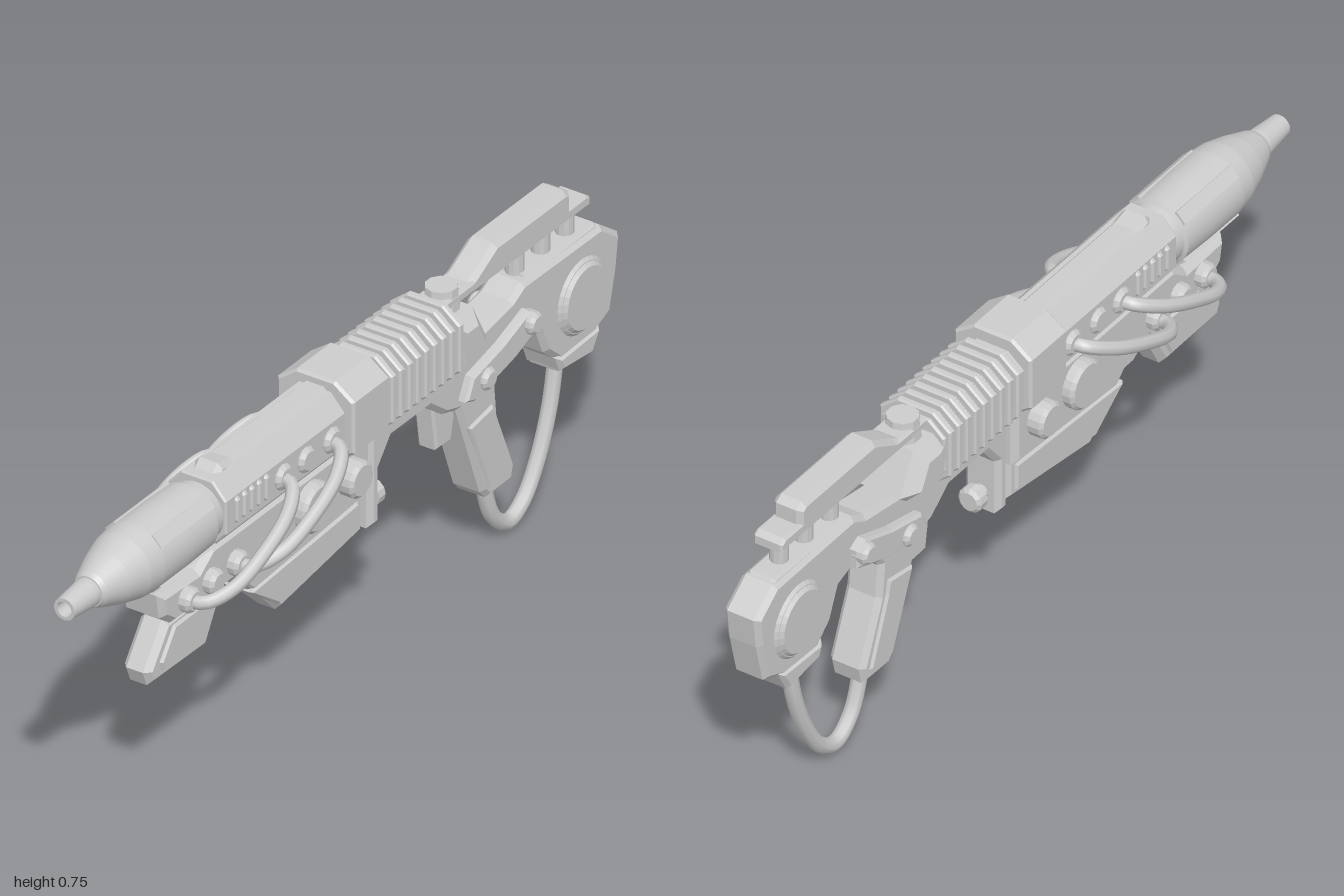
import * as THREE from 'three';

const material = new THREE.MeshStandardMaterial({ color: 0xcccccc, flatShading: true });
const smooth = new THREE.MeshStandardMaterial({ color: 0xcccccc, side: THREE.DoubleSide });

export function createModel() {
  const model = new THREE.Group();
  const add = (name, geometry, mat = material) => {
    const mesh = new THREE.Mesh(geometry, mat);
    mesh.name = name;
    model.add(mesh);
    return mesh;
  };
  const toShape = (pts) => new THREE.Shape(pts.map(([a, b]) => new THREE.Vector2(a, b)));

  // Bevelled solid centred on local z; the outline keeps its full size
  const slab = (pts, half, bevel) => {
    const g = new THREE.ExtrudeGeometry(toShape(pts), {
      depth: 2 * (half - bevel), bevelEnabled: true, bevelSegments: 1,
      bevelSize: bevel, bevelThickness: bevel, bevelOffset: -bevel,
    });
    return g.translate(0, 0, bevel - half);
  };
  // Side silhouette given as [z, y], with half width in x
  const plate = (name, pts, half, bevel = 0.012, x = 0) =>
    add(name, slab(pts, half, bevel).rotateY(-Math.PI / 2).translate(x, 0, 0));
  // Cross-section given as [x, y], running from z0 to z1
  const section = (name, pts, z0, z1, bevel = 0.004) =>
    add(name, slab(pts, (z1 - z0) / 2, bevel).translate(0, 0, (z0 + z1) / 2));
  // Outline scaled about its middle, for raised panels
  const shrink = (pts, f) => {
    const c = [0, 1].map((i) => pts.reduce((s, p) => s + p[i], 0) / pts.length);
    return pts.map((p) => [c[0] + (p[0] - c[0]) * f, c[1] + (p[1] - c[1]) * f]);
  };
  // Eight-sided cross-section
  const octagon = (w, y0, y1, cx, cy) => [
    [-w, y0 + cy], [-w + cx, y0], [w - cx, y0], [w, y0 + cy],
    [w, y1 - cy], [w - cx, y1], [-w + cx, y1], [-w, y1 - cy]];
  // Round boss with a chamfered rim, mirrored on both sides
  const bosses = (name, z, y, r, x0, x1, sides = 16) => {
    for (const s of [-1, 1]) {
      const c = Math.min(0.008, (x1 - x0) / 2);
      const profile = [[0, x0], [r, x0], [r, x1 - c], [r - c, x1], [0, x1]];
      const g = new THREE.LatheGeometry(profile.map(([a, b]) => new THREE.Vector2(a, b)), sides);
      add(name, g.rotateZ(-s * Math.PI / 2).translate(0, y, z));
    }
  };

  // Barrel shroud and muzzle, hollow at the tip
  const cone = [[0.04, 0.5], [0.068, 0.5], [0.072, 0.54], [0.08, 0.545], [0.083, 0.64], [0.083, 0.745],
    [0.078, 0.79], [0.063, 0.845], [0.043, 0.9], [0.036, 0.912], [0, 0.912]];
  const tip = [[0.033, 0.9], [0.033, 0.925], [0.026, 1.0], [0.018, 1.0], [0.016, 0.95], [0, 0.95]];
  for (const [name, profile] of [['barrelShroud', cone], ['muzzle', tip]]) {
    // Each segment is its own ring so that the edges stay crisp
    for (let i = 0; i < profile.length - 1; i++) {
      const g = new THREE.LatheGeometry(
        [profile[i], profile[i + 1]].map(([r, z]) => new THREE.Vector2(r, z)), 28);
      add(name, g.rotateX(Math.PI / 2).translate(0, 0.622, 0), smooth);
    }
  }
  // Strips along the shroud
  for (let i = 0; i < 4; i++) {
    const a = Math.PI / 4 + i * Math.PI / 2;
    const strip = add('shroudStrip', new THREE.BoxGeometry(0.032, 0.008, 0.2));
    strip.position.set(Math.cos(a) * 0.081, 0.622 + Math.sin(a) * 0.081, 0.645);
    strip.rotation.z = a - Math.PI / 2;
  }

  // Upper receiver and top ridge
  section('upperReceiver', octagon(0.075, 0.545, 0.705, 0.035, 0.04), 0.05, 0.51);
  const ridge = [[0.485, 0.68], [0.49, 0.7], [0.465, 0.722], [0.42, 0.712], [0.05, 0.712], [0.05, 0.68]];
  plate('topRidge', ridge, 0.034, 0.012);
  // Cooling ribs behind the barrel
  for (let i = 0; i < 5; i++) {
    section('coolingRib', octagon(0.082, 0.585, 0.675, 0.02, 0.02), 0.355 + i * 0.027, 0.37 + i * 0.027);
  }

  // Central block and ribbed housing
  section('centralBlock', octagon(0.098, 0.535, 0.732, 0.05, 0.036), -0.065, 0.07, 0.006);
  section('ribbedCore', octagon(0.08, 0.545, 0.7, 0.04, 0.035), -0.36, -0.06);
  for (let i = 0; i < 9; i++) {
    const z = -0.085 - i * 0.0312;
    section('housingRib', octagon(0.09, 0.532, 0.716, 0.045, 0.036), z - 0.018, z);
  }
  // Sloped tail of the housing
  const tail = [[-0.34, 0.54], [-0.34, 0.7], [-0.36, 0.67], [-0.435, 0.67], [-0.485, 0.575], [-0.46, 0.555]];
  plate('housingTail', tail, 0.082, 0.03);

  // Lower receiver, magazine and foregrip
  plate('lowerReceiver', [[0.72, 0.53], [0.71, 0.47], [0.67, 0.44], [0.44, 0.435], [0.38, 0.4],
    [-0.06, 0.4], [-0.06, 0.56], [0.53, 0.56], [0.58, 0.525]], 0.055, 0.014);
  const magazine = [[0.44, 0.44], [0.25, 0.258], [-0.06, 0.3], [-0.06, 0.42]];
  plate('magazine', magazine, 0.035, 0.014);
  plate('magazinePanel', [[0.365, 0.36], [0.26, 0.28], [-0.035, 0.318], [-0.035, 0.385]], 0.041, 0.006);
  const foregrip = [[0.67, 0.44], [0.74, 0.345], [0.725, 0.308], [0.52, 0.305], [0.46, 0.41], [0.44, 0.44]];
  plate('foregrip', foregrip, 0.035, 0.014);
  plate('foregripPanel', shrink(foregrip, 0.72), 0.041, 0.006);
  bosses('largeBoss', 0.17, 0.484, 0.058, 0.04, 0.082, 20);
  bosses('smallBoss', 0.025, 0.484, 0.043, 0.04, 0.092, 16);

  // Hose fittings in two rows, and the hoses that join them
  for (const z of [0.12, 0.215, 0.3]) bosses('upperFitting', z, 0.625, 0.03, 0.06, 0.087, 12);
  for (const z of [0.45, 0.54, 0.63]) bosses('lowerFitting', z, 0.485, 0.029, 0.04, 0.08, 12);
  for (const s of [-1, 1]) {
    for (const z of [0.12, 0.3]) {
      const path = [[0.07, 0.622, 0], [0.105, 0.62, 0.01], [0.137, 0.593, 0.07], [0.147, 0.55, 0.17],
        [0.135, 0.506, 0.27], [0.1, 0.485, 0.322], [0.06, 0.482, 0.33]];
      const curve = new THREE.CatmullRomCurve3(path.map((p) => new THREE.Vector3(s * p[0], p[1], z + p[2])));
      add('hose', new THREE.TubeGeometry(curve, 28, 0.016, 8), smooth);
    }
  }

  // Rear frame with pistol grip, thumb opening and stock
  plate('rearFrame', [[-0.07, 0.56], [-0.07, 0.3], [-0.107, 0.3], [-0.107, 0.435], [-0.15, 0.487],
    [-0.29, 0.487], [-0.35, 0.44], [-0.4, 0.425], [-0.49, 0.18], [-0.51, 0.158], [-0.6, 0.16],
    [-0.61, 0.2], [-0.548, 0.35], [-0.54, 0.43], [-0.57, 0.475], [-0.635, 0.495], [-0.695, 0.475],
    [-0.725, 0.405], [-0.765, 0.37], [-0.775, 0.335], [-0.89, 0.325], [-0.915, 0.37], [-0.965, 0.39],
    [-0.99, 0.49], [-1.0, 0.565], [-0.93, 0.617], [-0.64, 0.62], [-0.595, 0.597], [-0.47, 0.577]], 0.045, 0.012);
  plate('gripPanel', [[-0.43, 0.37], [-0.505, 0.185], [-0.588, 0.19], [-0.527, 0.35], [-0.52, 0.385]], 0.051, 0.006);
  plate('trigger', [[-0.33, 0.46], [-0.345, 0.35], [-0.4, 0.348], [-0.42, 0.43], [-0.4, 0.46]], 0.025, 0.006);
  plate('stockTop', [[-0.64, 0.56], [-0.66, 0.625], [-0.92, 0.625], [-0.95, 0.59], [-0.93, 0.56]], 0.035, 0.008);
  plate('stockFoot', [[-0.76, 0.375], [-0.775, 0.337], [-0.89, 0.325], [-0.92, 0.38]], 0.051, 0.01);
  bosses('stockRim', -0.852, 0.484, 0.09, 0.03, 0.052, 28);
  bosses('stockDisc', -0.852, 0.484, 0.08, 0.04, 0.06, 28);

  // Selector plates above the grip, each with two pivots
  const selector = [[-0.395, 0.455], [-0.42, 0.505], [-0.53, 0.53], [-0.63, 0.565], [-0.66, 0.55],
    [-0.66, 0.505], [-0.58, 0.475], [-0.43, 0.442]];
  for (const s of [-1, 1]) plate('selectorPlate', selector, 0.015, 0.006, s * 0.052);
  bosses('selectorPivot', -0.635, 0.535, 0.026, 0.05, 0.085, 12);
  bosses('selectorPivot', -0.47, 0.48, 0.026, 0.05, 0.08, 12);

  // Stub behind the front flange
  const lathe = [[0, 0], [0.018, 0], [0.018, 0.025], [0.03, 0.025], [0.03, 0.048], [0.022, 0.055], [0, 0.055]];
  const stub = new THREE.LatheGeometry(lathe.map(([r, h]) => new THREE.Vector2(r, h)), 12);
  add('flangeStub', stub.rotateX(-Math.PI / 2).translate(0, 0.345, -0.1));

  // Top handle: base rail, raised cover, front knob and rear posts
  plate('handleRail', [[-0.36, 0.68], [-0.36, 0.706], [-0.885, 0.71], [-0.9, 0.7], [-0.9, 0.68]], 0.037, 0.006);
  plate('handleCover', [[-0.43, 0.69], [-0.47, 0.715], [-0.55, 0.757], [-0.81, 0.757], [-0.83, 0.745],
    [-0.83, 0.69]], 0.037, 0.012);
  add('handleKnob', new THREE.CylinderGeometry(0.036, 0.042, 0.06, 10).translate(0, 0.692, -0.398));
  for (const z of [-0.67, -0.765, -0.855]) {
    add('handlePost', new THREE.CylinderGeometry(0.021, 0.021, 0.08, 12).translate(0, 0.65, z));
  }

  // Cable loop from the grip to the stock
  const loop = [[-0.55, 0.19], [-0.56, 0.13], [-0.59, 0.06], [-0.645, 0.021], [-0.7, 0.045],
    [-0.755, 0.12], [-0.8, 0.23], [-0.825, 0.35]];
  const cable = new THREE.CatmullRomCurve3(loop.map(([z, y]) => new THREE.Vector3(0, y, z)));
  add('cableLoop', new THREE.TubeGeometry(cable, 36, 0.018, 8), smooth);

  return model;
}
